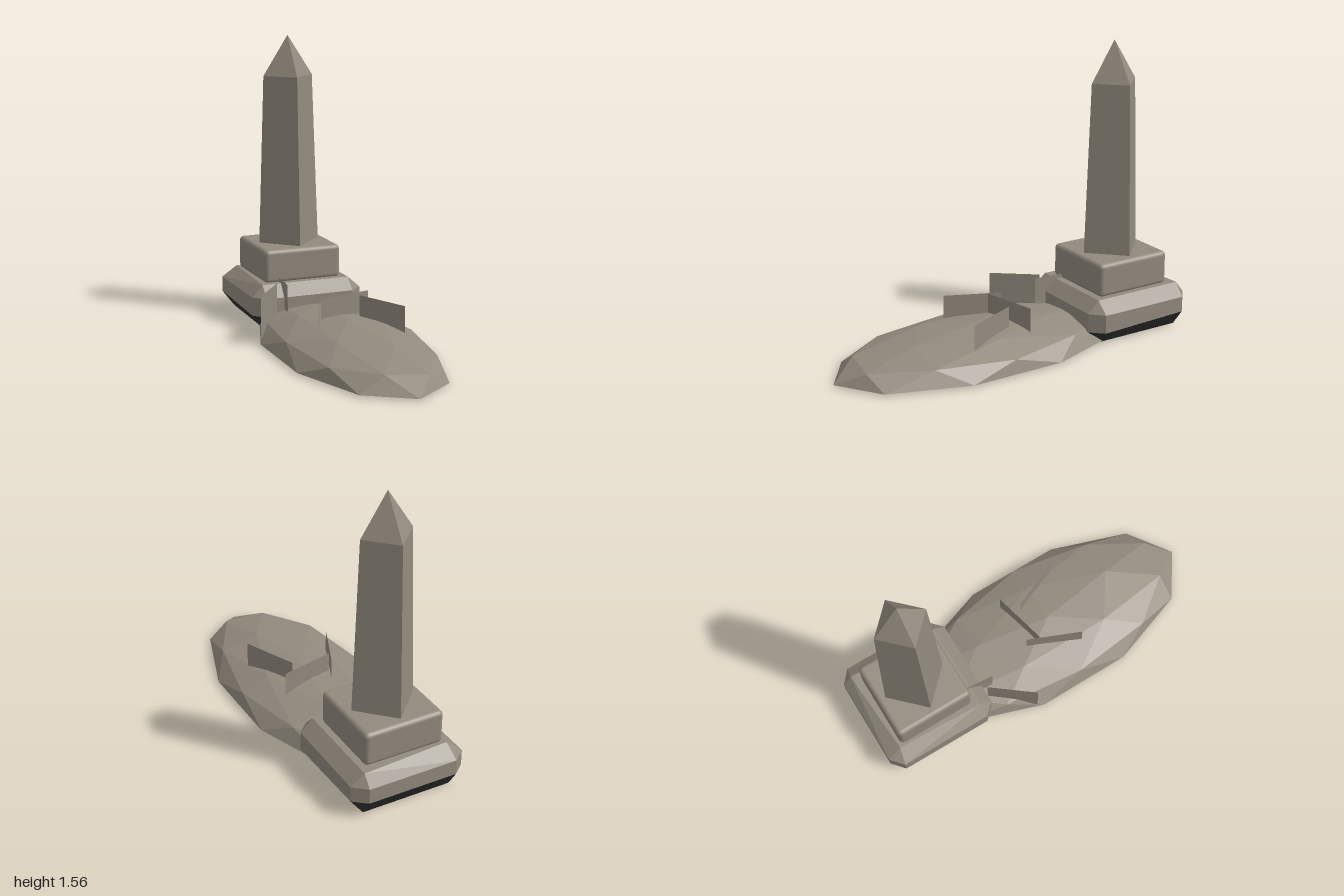
import * as THREE from 'three';
import { RoundedBoxGeometry } from 'three/addons/geometries/RoundedBoxGeometry.js';
import { ConvexGeometry } from 'three/addons/geometries/ConvexGeometry.js';

const CENTER_Z = -0.685; // axis of the monument

// Split faces so that every facet gets its own normal
function faceted(geometry) {
  const g = geometry.index ? geometry.toNonIndexed() : geometry;
  g.computeVertexNormals();
  return g;
}

// Give downward facets the second material
function splitUnderside(g) {
  const n = g.attributes.normal;
  g.clearGroups();
  for (let i = 0; i < n.count; i += 3) g.addGroup(i, 3, n.getY(i) < -0.2 ? 1 : 0);
  return g;
}

// Low earth mound: faceted dome with a nearly flat underside
function moundGeometry() {
  const g = new THREE.IcosahedronGeometry(1, 1);
  g.rotateZ(-Math.atan(2 / (1 + Math.sqrt(5)))); // one corner straight up
  const p = g.attributes.position;
  for (let i = 0; i < p.count; i++) p.setY(i, Math.max(p.getY(i), -0.05));
  g.scale(0.4, 0.155, 0.845);
  g.translate(0, 0.01, 0.155);
  return splitUnderside(faceted(g));
}

// Rough foundation stone: hull of two corner-cut rings between smaller rectangles
function foundationGeometry() {
  const pts = [];
  const add = (x, y, z) => pts.push(new THREE.Vector3(x, y, z));
  for (const [x, z] of [[-0.25, -0.46], [0.25, -0.45], [0.25, -0.94], [-0.24, -0.94]]) add(x, 0, z);
  for (const [x, z] of [[-0.25, -0.43], [0.25, -0.43], [0.25, -0.95], [-0.23, -0.92]]) add(x, 0.238, z);
  const ring = [[-0.24, -1], [0.25, -1], [0.32, -0.94], [0.32, -0.43],
    [0.25, -0.365], [-0.25, -0.365], [-0.31, -0.43], [-0.31, -0.94]];
  for (const [x, z] of ring) {
    add(x, 0.06 - 0.033 * z, z); // lower edge rises toward the back
    add(x, 0.175, z);
  }
  return splitUnderside(faceted(new ConvexGeometry(pts)));
}

// Upright blade of zero thickness between two ground points
function bladeGeometry([x0, z0], [x1, z1]) {
  const bottom = 0.03, top = 0.26;
  const g = new THREE.PlaneGeometry(Math.hypot(x1 - x0, z1 - z0), top - bottom);
  g.rotateY(-Math.atan2(z1 - z0, x1 - x0));
  g.translate((x0 + x1) / 2, (top + bottom) / 2, (z0 + z1) / 2);
  return g;
}

export function createModel() {
  const model = new THREE.Group();
  model.name = 'graveMonument';
  const stone = new THREE.MeshStandardMaterial({ color: 0x928a7e, side: THREE.DoubleSide });
  stone.name = 'weathered stone';
  const dark = new THREE.MeshStandardMaterial({ color: 0x333333 });
  dark.name = 'dark underside';

  const add = (name, geometry, material = stone, y = 0, z = 0, parent = model) => {
    const mesh = new THREE.Mesh(geometry, material);
    mesh.name = name;
    mesh.position.set(0, y, z);
    parent.add(mesh);
  };

  add('mound', moundGeometry(), [stone, dark]);
  add('foundationStone', foundationGeometry(), [stone, dark]);
  add('plinth', new RoundedBoxGeometry(0.44, 0.185, 0.44, 3, 0.025), stone, 0.3225, CENTER_Z);

  // Tapered four-sided shaft, set cornerwise, with a pointed cap
  add('obeliskShaft', faceted(new THREE.CylinderGeometry(0.142, 0.175, 0.93, 4, 1, true)), stone, 0.875, CENTER_Z);
  add('obeliskCap', faceted(new THREE.ConeGeometry(0.142, 0.22, 4, 1, true)), stone, 1.45, CENTER_Z);

  // Grass blades standing on the mound
  const grass = new THREE.Group();
  grass.name = 'grassBlades';
  model.add(grass);
  const blades = [
    [[-0.2, 0.25], [-0.078, -0.035]],
    [[-0.1, 0.035], [0.198, -0.035]],
    [[0.115, 0.043], [0.24, 0.33]],
    [[-0.365, -0.14], [-0.195, -0.355]],
    [[-0.155, -0.3], [-0.14, -0.48]],
  ];
  blades.forEach(([a, b], i) => add(`grassBlade${i + 1}`, bladeGeometry(a, b), stone, 0, 0, grass));

  return model;
}
